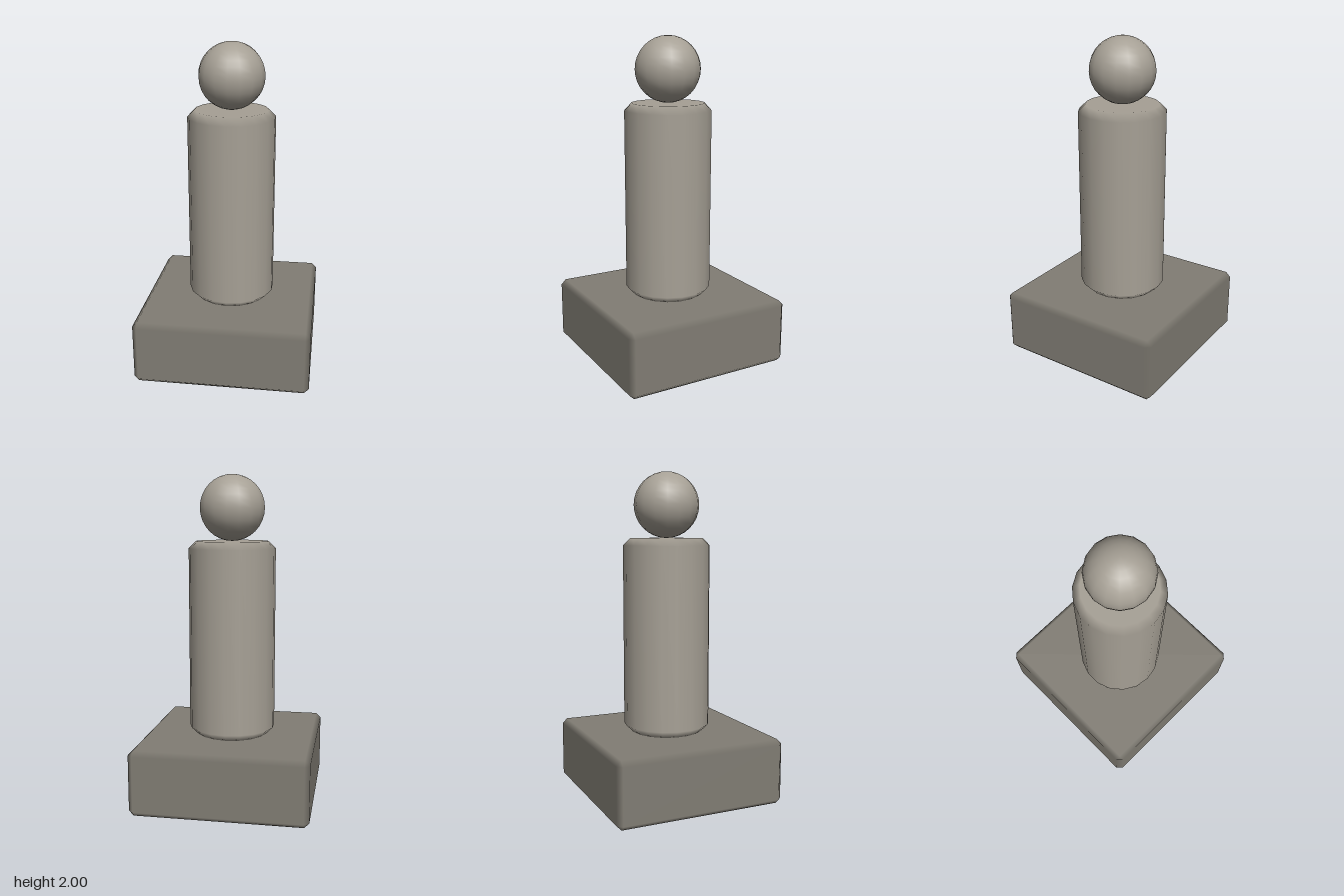
import * as THREE from 'three';
import { ConvexGeometry } from 'three/addons/geometries/ConvexGeometry.js';

const darkStone = new THREE.MeshStandardMaterial({ color: 0x817d74 });
const lightStone = new THREE.MeshStandardMaterial({ color: 0xa6a095 });

function add(group, name, geometry, material, y) {
  const mesh = new THREE.Mesh(geometry, material);
  mesh.name = name;
  mesh.position.y = y;
  group.add(mesh);
}

// Replace the normals with rule(x, y, z)
function setNormals(geometry, rule) {
  const { position, normal } = geometry.attributes;
  for (let i = 0; i < position.count; i++) {
    const n = rule(position.getX(i), position.getY(i), position.getZ(i)).normalize();
    normal.setXYZ(i, n.x, n.y, n.z);
  }
  return geometry;
}

// Box with one-step chamfers: flat faces, smoothly shaded edges
function chamferedBox(half, bevel) {
  const points = [];
  for (let axis = 0; axis < 3; axis++) {
    for (let corner = 0; corner < 8; corner++) {
      const p = half.map((h, i) => (corner & (1 << i) ? 1 : -1) * (i === axis ? h : h - bevel));
      points.push(new THREE.Vector3(...p));
    }
  }
  const onFace = (v, h) => (Math.abs(v) > h - bevel / 2 ? Math.sign(v) : 0);
  return setNormals(new ConvexGeometry(points), (x, y, z) =>
    new THREE.Vector3(onFace(x, half[0]), onFace(y, half[1]), onFace(z, half[2])));
}

// Closed cylinder with one-step chamfers, centred on the origin
function chamferedCylinder(radius, height, bevel, sides) {
  const h = height / 2;
  const profile = [[0, -h], [radius - bevel, -h], [radius, bevel - h],
    [radius, h - bevel], [radius - bevel, h], [0, h]].map(([x, y]) => new THREE.Vector2(x, y));
  return setNormals(new THREE.LatheGeometry(profile, sides), (x, y, z) =>
    Math.abs(y) > h - bevel / 2 ? new THREE.Vector3(0, y, 0) : new THREE.Vector3(x, 0, z));
}

export function createModel() {
  const group = new THREE.Group();
  group.name = 'pedestalWithBall';
  add(group, 'base', chamferedBox([0.533, 0.2, 0.533], 0.03), darkStone, 0.2);
  add(group, 'column', chamferedCylinder(0.267, 1.2, 0.044, 18), lightStone, 1.0);
  add(group, 'ball', new THREE.SphereGeometry(0.2, 16, 16), lightStone, 1.8);
  return group;
}
